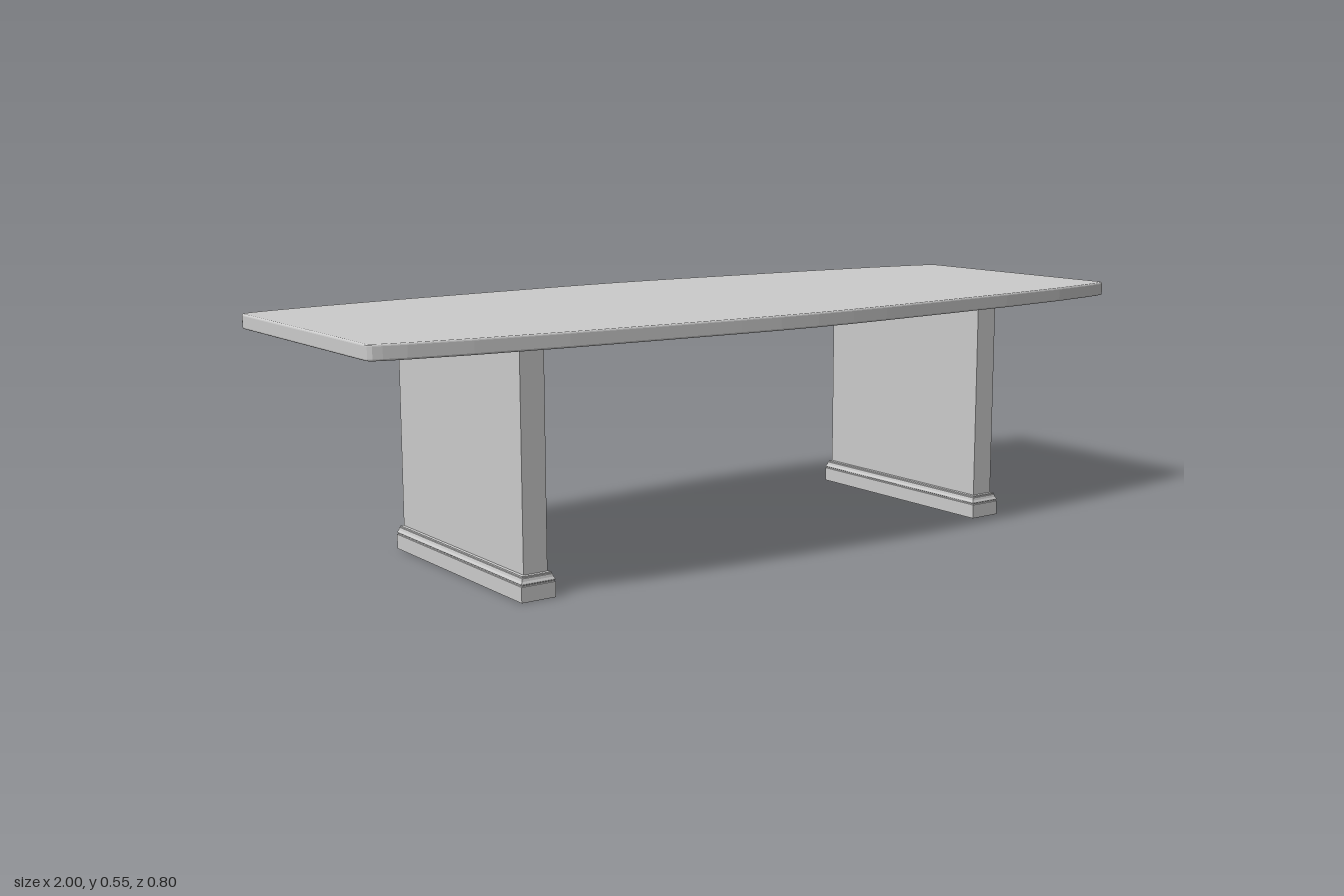
import * as THREE from 'three';

const material = new THREE.MeshStandardMaterial({ color: 0xcccccc, flatShading: true, side: THREE.DoubleSide });

const PANEL_HALF_X = 0.028, PANEL_HALF_Z = 0.2655;
const TOP_Y = 0.552, TOP_THICK = 0.032, BEVEL = 0.004;

// Rectangular moulding: a profile of [offset, y] swept round the panel's footprint
function rectMoulding(profile) {
  const positions = [], index = [];
  for (const [offset, y] of profile) {
    const x = PANEL_HALF_X + offset, z = PANEL_HALF_Z + offset;
    positions.push(-x, y, z, x, y, z, x, y, -z, -x, y, -z);
  }
  for (let r = 0; r < profile.length - 1; r++) {
    for (let i = 0; i < 4; i++) {
      const a = r * 4 + i, b = r * 4 + (i + 1) % 4;
      index.push(a, b, b + 4, a, b + 4, a + 4);
    }
  }
  const t = (profile.length - 1) * 4;
  index.push(0, 2, 1, 0, 3, 2, t, t + 1, t + 2, t, t + 2, t + 3);
  const geometry = new THREE.BufferGeometry();
  geometry.setAttribute('position', new THREE.Float32BufferAttribute(positions, 3));
  geometry.setIndex(index);
  const flat = geometry.toNonIndexed();
  flat.computeVertexNormals();
  return flat;
}

// Boat-shaped table top with softened corners and a rounded edge
function tableTop() {
  const quarter = [
    [1, 0.298], [0.998, 0.304], [0.992, 0.31], [0.975, 0.316], [0.93, 0.326], [0.8, 0.346],
    [0.6, 0.366], [0.4, 0.38], [0.2, 0.393], [0.1, 0.398], [0, 0.4],
  ];
  const half = [...quarter, ...quarter.slice(0, -1).reverse().map(([x, z]) => [-x, z])];
  const outline = [...half, ...half.map(([x, z]) => [-x, -z])];
  const inset = 1 - BEVEL;
  const shape = new THREE.Shape(
    outline.map(([x, z]) => new THREE.Vector2(x * inset, z - Math.sign(z) * BEVEL)));
  const geometry = new THREE.ExtrudeGeometry(shape, {
    depth: TOP_THICK - 2 * BEVEL, bevelEnabled: true,
    bevelThickness: BEVEL, bevelSize: BEVEL, bevelSegments: 3,
  });
  geometry.rotateX(-Math.PI / 2);
  geometry.translate(0, TOP_Y - TOP_THICK + BEVEL, 0);
  const mesh = new THREE.Mesh(geometry, material);
  mesh.name = 'tableTop';
  return mesh;
}

// Slab leg standing on a stepped plinth
function pedestal(name, x) {
  const group = new THREE.Group();
  group.name = name;

  const height = TOP_Y - TOP_THICK - 0.05;
  const panel = new THREE.Mesh(
    new THREE.BoxGeometry(PANEL_HALF_X * 2, height, PANEL_HALF_Z * 2), material);
  panel.name = 'legPanel';
  panel.position.y = 0.05 + height / 2;

  const base = new THREE.Mesh(rectMoulding([
    [0.012, 0], [0.012, 0.033], [0.01, 0.034], [0.01, 0.036], [0.0115, 0.037],
    [0.0115, 0.039], [0.009, 0.043], [0.0075, 0.049], [0.006, 0.05],
    [0.006, 0.053], [0, 0.054],
  ]), material);
  base.name = 'legBase';

  group.add(panel, base);
  group.position.set(x, 0, 0.008);
  return group;
}

export function createModel() {
  const model = new THREE.Group();
  model.name = 'conferenceTable';
  model.add(tableTop(), pedestal('leftPedestal', 0.626), pedestal('rightPedestal', -0.631));
  return model;
}
